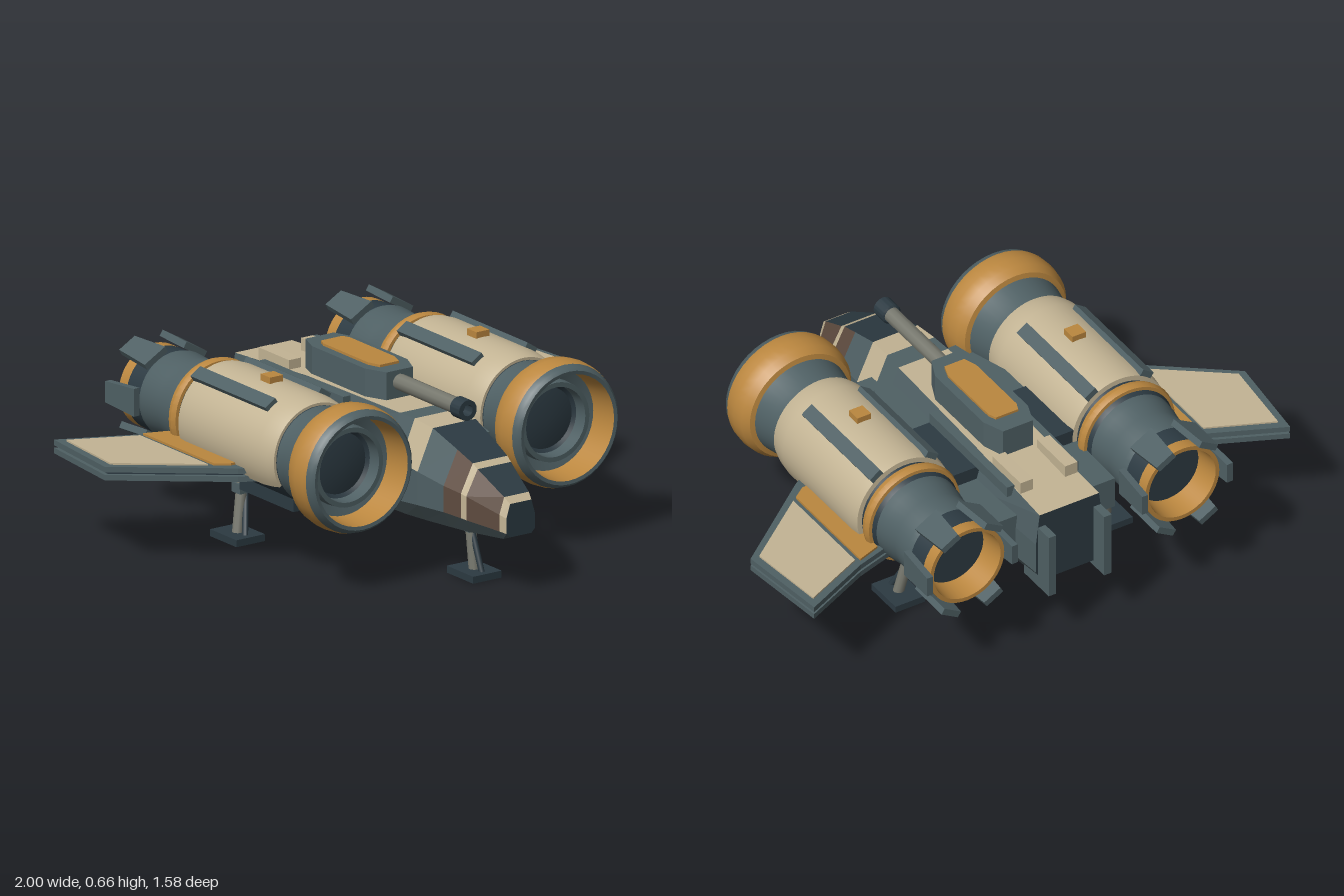
import * as THREE from 'three';
import { toCreasedNormals } from 'three/addons/utils/BufferGeometryUtils.js';

const paint = (name, color) => {
  const m = new THREE.MeshStandardMaterial({ color, side: THREE.DoubleSide });
  m.name = name;
  return m;
};
const slate = paint('slate', 0x4f6064);
const navy = paint('navy', 0x2c3a42);
const cream = paint('cream', 0xc3b494);
const gold = paint('gold', 0xbb873f);
const brown = paint('brown', 0x5e4b3f);
const steel = paint('steel', 0x77786e);
const belly = paint('belly', 0x435053);

function add(group, name, geometry, material, x = 0, y = 0, z = 0) {
  const mesh = new THREE.Mesh(geometry, material);
  mesh.name = name;
  mesh.position.set(x, y, z);
  group.add(mesh);
  return mesh;
}
const box = (g, name, mat, w, h, d, x, y, z) => add(g, name, new THREE.BoxGeometry(w, h, d), mat, x, y, z);

// Turned part around the z axis; profile is [radius, z], angle 0 points down
function turned(g, name, mat, profile, start = 0, sweep = Math.PI * 2) {
  const pts = profile.map(([r, z]) => new THREE.Vector2(r, z));
  const geo = new THREE.LatheGeometry(pts, 40, start, sweep).rotateX(Math.PI / 2);
  return add(g, name, toCreasedNormals(geo, 0.6), mat);
}

// Flat plate from a plan outline of [x, z] points
function plate(g, name, mat, plan, y, h, side = 1) {
  const shape = new THREE.Shape(plan.map(([x, z]) => new THREE.Vector2(x * side, -z)));
  const geo = new THREE.ExtrudeGeometry(shape, { depth: h, bevelEnabled: false }).rotateX(-Math.PI / 2);
  return add(g, name, geo, mat, 0, y, 0);
}

// Round strut between two points
function strut(g, name, mat, a, b, r) {
  const from = new THREE.Vector3(...a), to = new THREE.Vector3(...b);
  const dir = to.clone().sub(from);
  const mesh = add(g, name, new THREE.CylinderGeometry(r, r, dir.length(), 10), mat);
  mesh.position.copy(from).add(to).multiplyScalar(0.5);
  mesh.quaternion.setFromUnitVectors(new THREE.Vector3(0, 1, 0), dir.normalize());
}

// Eight-sided hull; each row: z, four heights, three half widths,
// then the colours of belly, side, slope and top back to the next row
function hull(rows, frontMat, backMat) {
  const rings = rows.map(([z, yb, yl, yh, yt, hb, hm, ht]) =>
    [[hb, yb], [hm, yl], [hm, yh], [ht, yt], [-ht, yt], [-hm, yh], [-hm, yl], [-hb, yb]].map(([x, y]) => [x, y, z]));
  const mats = [], pos = [], geo = new THREE.BufferGeometry();
  const put = (mat, ...corners) => {
    if (!mats.includes(mat)) mats.push(mat);
    geo.addGroup(pos.length / 3, corners.length, mats.indexOf(mat));
    corners.forEach(c => pos.push(...c));
  };
  const bands = [0, 1, 2, 3, 2, 1, 0, 0];
  for (let i = 0; i < rings.length - 1; i++) {
    for (let k = 0; k < 8; k++) {
      const n = (k + 1) % 8;
      const a = rings[i][k], b = rings[i][n], c = rings[i + 1][n], d = rings[i + 1][k];
      put(rows[i][8][bands[k]], a, d, c, a, c, b);
    }
  }
  const first = rings[0], last = rings[rings.length - 1];
  for (let k = 1; k < 7; k++) {
    put(frontMat, first[0], first[k], first[k + 1]);
    put(backMat, last[0], last[k + 1], last[k]);
  }
  geo.setAttribute('position', new THREE.Float32BufferAttribute(pos, 3));
  geo.computeVertexNormals();
  return [geo, mats];
}

function makeEngine() {
  const g = new THREE.Group();
  g.name = 'engine';
  // intake
  turned(g, 'intakeCowl', gold, [[0.18, 0.312], [0.205, 0.318], [0.222, 0.345], [0.228, 0.385], [0.225, 0.425], [0.22, 0.44]]);
  turned(g, 'intakeLip', slate, [[0.22, 0.44], [0.213, 0.46], [0.203, 0.47], [0.19, 0.468]]);
  turned(g, 'intakeLining', gold, [[0.19, 0.468], [0.18, 0.36]]);
  turned(g, 'intakeRing', slate, [[0.18, 0.36], [0.145, 0.35], [0.142, 0.39], [0.125, 0.39], [0.122, 0.34]]);
  turned(g, 'intakeFan', navy, [[0.122, 0.34], [0.11, 0.33], [0, 0.35]]);
  // barrel and upper shell
  turned(g, 'neck', slate, [[0.172, 0.2], [0.173, 0.24], [0.187, 0.315]]);
  turned(g, 'core', navy, [[0.15, -0.46], [0.172, -0.42], [0.175, 0.16], [0.172, 0.205]]);
  turned(g, 'shell', cream, [[0.172, -0.352], [0.19, -0.35], [0.195, -0.31], [0.196, 0.12], [0.19, 0.17], [0.182, 0.2], [0.172, 0.2]],
    Math.PI / 3, Math.PI * 4 / 3);
  turned(g, 'goldBand', gold, [[0.165, -0.417], [0.184, -0.415], [0.19, -0.395], [0.184, -0.375], [0.165, -0.373]]);
  for (const s of [-1, 1]) {
    const rail = box(g, 'shellRail', slate, 0.05, 0.03, 0.44, s * 0.11, 0.164, -0.13);
    rail.rotation.z = -s * 0.59;
  }
  box(g, 'serviceCap', gold, 0.055, 0.03, 0.055, 0, 0.202, -0.065);
  box(g, 'underslungBox', navy, 0.15, 0.06, 0.315, 0, -0.175, 0.008);
  // exhaust
  turned(g, 'exhaustCone', slate, [[0.15, -0.64], [0.158, -0.61], [0.152, -0.53], [0.162, -0.47], [0.166, -0.417]]);
  turned(g, 'nozzle', navy, [[0.15, -0.71], [0.152, -0.63]]);
  turned(g, 'nozzleBand', gold, [[0.135, -0.755], [0.15, -0.755], [0.15, -0.71]]);
  turned(g, 'nozzleLining', gold, [[0.125, -0.66], [0.135, -0.755]]);
  turned(g, 'exhaustPlate', navy, [[0, -0.66], [0.125, -0.66]]);
  for (let i = 0; i < 6; i++) {
    const holder = new THREE.Group();
    holder.name = 'exhaustPetal';
    holder.rotation.z = i * Math.PI / 3;
    const petal = plate(holder, 'petal', slate, [[-0.05, -0.63], [0.05, -0.63], [0.038, -0.79], [-0.038, -0.79]], 0, 0.024);
    petal.geometry.rotateZ(-Math.PI / 2);
    petal.position.set(0.128, 0, 0);
    petal.rotation.y = -0.04;
    g.add(holder);
  }
  return g;
}

function landingGear(g, x, z, topX, topZ, topY) {
  box(g, 'footPad', navy, 0.12, 0.025, 0.155, x, 0.0125, z);
  strut(g, 'leg', steel, [x, 0.02, z], [topX, topY, topZ], 0.02);
  strut(g, 'brace', navy, [x, 0.02, z + 0.045], [topX, 0.17, topZ + 0.01], 0.011);
  const t = 0.175 / topY;
  box(g, 'legCollar', slate, 0.05, 0.035, 0.05, x + (topX - x) * t, 0.175, z + (topZ - z) * t);
}

export function createModel() {
  const model = new THREE.Group();
  model.name = 'spacecraft';

  // fuselage
  const frame = [belly, cream, cream, cream], glass = [belly, brown, brown, navy];
  const deck = [belly, slate, slate, cream], band = [belly, slate, slate, slate];
  const [geo, mats] = hull([
    [0.79, 0.215, 0.23, 0.285, 0.335, 0.045, 0.06, 0.045, frame],
    [0.765, 0.205, 0.235, 0.295, 0.355, 0.055, 0.072, 0.052, glass],
    [0.635, 0.2, 0.25, 0.335, 0.425, 0.09, 0.118, 0.07, frame],
    [0.61, 0.198, 0.252, 0.34, 0.44, 0.094, 0.123, 0.073, glass],
    [0.53, 0.195, 0.255, 0.35, 0.47, 0.105, 0.138, 0.08, [belly, slate, slate, navy]],
    [0.4, 0.19, 0.25, 0.37, 0.515, 0.12, 0.155, 0.09, [belly, slate, cream, cream]],
    [0.3, 0.187, 0.24, 0.38, 0.525, 0.13, 0.157, 0.095, band],
    [0.22, 0.185, 0.24, 0.38, 0.525, 0.13, 0.157, 0.1, deck],
    [-0.3, 0.2, 0.25, 0.38, 0.525, 0.13, 0.157, 0.115, deck],
    [-0.72, 0.22, 0.26, 0.38, 0.5, 0.11, 0.135, 0.12, deck],
  ], navy, navy);
  add(model, 'fuselage', geo, mats);

  // dorsal turret and gun
  plate(model, 'turret', slate, [[-0.055, 0.08], [0.055, 0.08], [0.09, 0], [0.09, -0.31], [0.06, -0.39], [-0.06, -0.39], [-0.09, -0.31], [-0.09, 0]], 0.51, 0.115);
  plate(model, 'turretPanel', gold, [[-0.04, 0.02], [0.04, 0.02], [0.057, -0.03], [0.057, -0.29], [0.045, -0.32], [-0.045, -0.32], [-0.057, -0.29], [-0.057, -0.03]], 0.625, 0.009);
  strut(model, 'gunBarrel', steel, [0, 0.582, 0.05], [0, 0.582, 0.43], 0.029);
  turned(model, 'gunMuzzle', navy, [[0.03, 0.42], [0.037, 0.425], [0.037, 0.48], [0.02, 0.48], [0.02, 0.435], [0, 0.435]]).position.y = 0.582;

  for (const s of [-1, 1]) {
    const side = new THREE.Group();
    side.name = s > 0 ? 'leftSide' : 'rightSide';
    model.add(side);

    // shoulders joining hull and engine
    plate(side, 'shoulder', slate, [[0.1, -0.6], [0.26, -0.6], [0.27, 0.02], [0.2, 0.33], [0.14, 0.33]], 0.31, 0.12, s);
    plate(side, 'pylon', navy, [[0.1, -0.35], [0.28, -0.35], [0.28, -0.05], [0.1, -0.05]], 0.41, 0.07, s);
    plate(side, 'pylonFairing', slate, [[0.1, -0.05], [0.28, -0.05], [0.2, 0.22], [0.13, 0.22]], 0.41, 0.06, s);
    box(side, 'deckRail', slate, 0.03, 0.04, 0.5, s * 0.13, 0.5, -0.3);
    box(side, 'deckBlock', cream, 0.05, 0.045, 0.18, s * 0.09, 0.53, -0.5);
    box(side, 'tailFin', slate, 0.03, 0.25, 0.16, s * 0.112, 0.325, -0.71);

    const engine = makeEngine();
    engine.position.set(s * 0.435, 0.435, 0);
    side.add(engine);

    // wing
    const outline = [[0.5, 0.1], [0.64, 0.02], [1, -0.26], [0.963, -0.61], [0.7, -0.49], [0.5, -0.43]];
    plate(side, 'wingLower', slate, outline, 0.325, 0.02, s);
    plate(side, 'wingCore', navy, [[0.5, 0.08], [0.64, 0], [0.985, -0.265], [0.95, -0.59], [0.7, -0.475], [0.5, -0.41]], 0.345, 0.009, s);
    plate(side, 'wingUpper', slate, outline, 0.354, 0.02, s);
    plate(side, 'wingPanel', cream, [[0.705, -0.065], [0.97, -0.268], [0.94, -0.568], [0.705, -0.462]], 0.374, 0.006, s);
    plate(side, 'wingStripe', gold, [[0.6, -0.02], [0.64, -0.02], [0.688, -0.055], [0.688, -0.47], [0.6, -0.44]], 0.374, 0.008, s);

    landingGear(side, s * 0.42, -0.288, s * 0.37, -0.32, 0.27);
  }
  landingGear(model, 0, 0.517, 0, 0.49, 0.22);
  return model;
}
